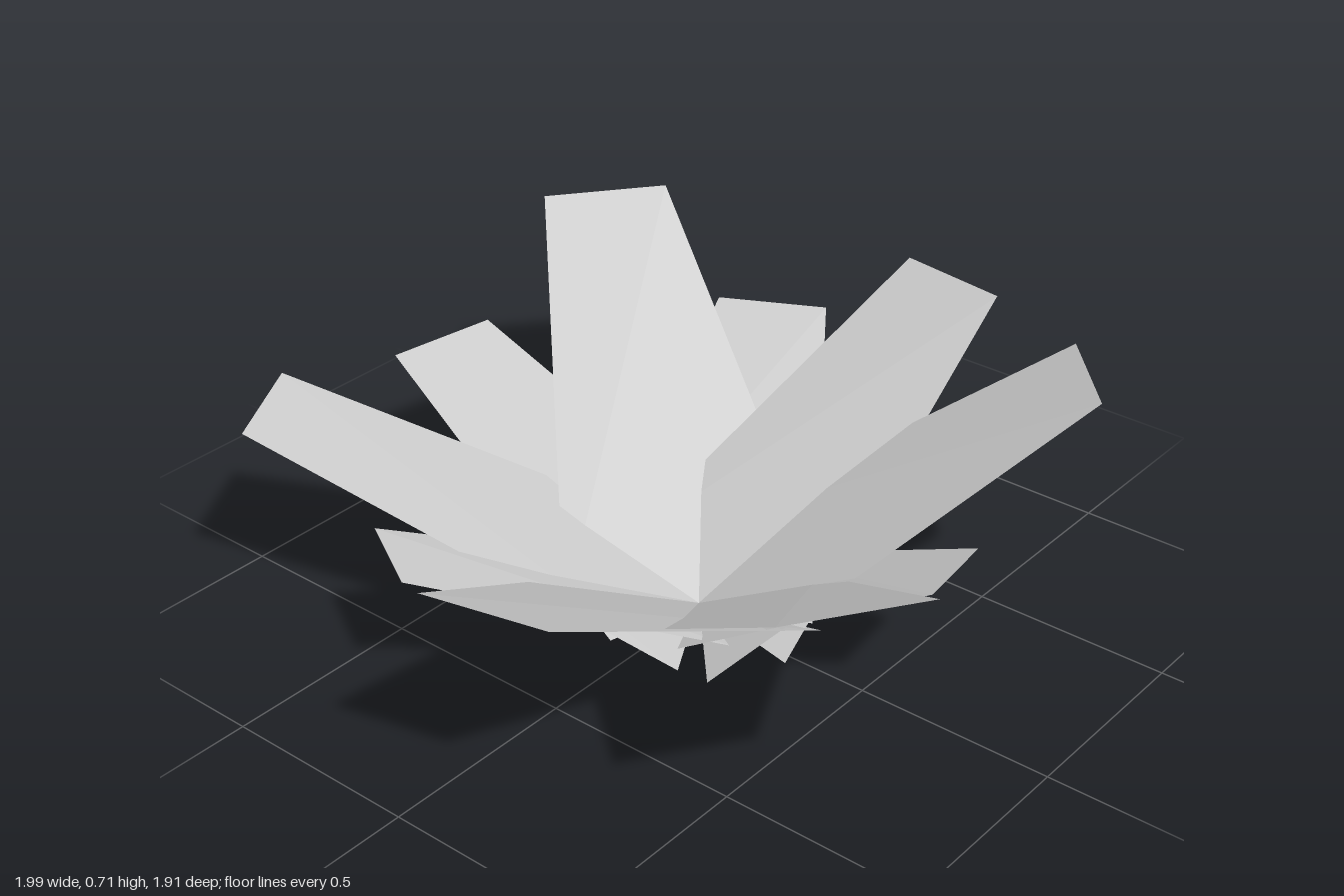
import * as THREE from 'three';

// Each leaf: tip centre x, y, z, then tip width and base width
const OUTER_LEAVES = [
  [-0.87, 0.63, -0.68, 0.33, 0.66],
  [0.125, 0.615, -0.865, 0.295, 0.6],
  [0.665, 0.63, -0.62, 0.29, 0.6],
  [0.895, 0.71, 0.605, 0.33, 0.62],
  [0.21, 0.58, 0.92, 0.305, 0.65],
  [-0.9, 0.49, 0.525, 0.3, 0.62],
];
const LOW_LEAVES = [
  [-0.46, 0.345, -0.89, 0.295, 0.56],
  [0.68, 0.365, -0.08, 0.22, 0.45],
  [-0.365, 0.34, 0.645, 0.24, 0.45],
  [-0.98, 0.365, -0.15, 0.3, 0.56],
];

// A tapered blade: wide, slightly twisted base on the ground and a narrow level tip
function leafGeometry([x, y, z, tipWidth, baseWidth]) {
  const side = new THREE.Vector3(-z, 0, x).normalize();
  const corner = (cx, cy, cz, offset) => new THREE.Vector3(cx, cy, cz).addScaledVector(side, offset);
  const tipA = corner(x, y, z, tipWidth / 2);
  const tipB = corner(x, y, z, -tipWidth / 2);
  const baseA = corner(0, 0, -0.015, baseWidth / 2);
  const baseB = corner(0, 0.04, -0.015, -baseWidth / 2);
  const geometry = new THREE.BufferGeometry().setFromPoints([tipA, tipB, baseB, tipA, baseB, baseA]);
  geometry.computeVertexNormals();
  return geometry;
}

export function createModel() {
  const model = new THREE.Group();
  model.name = 'leafyPlant';
  const leafGrey = new THREE.MeshStandardMaterial({ color: 0xcccccc, side: THREE.DoubleSide, flatShading: true });
  leafGrey.name = 'leafGrey';

  const addRing = (name, leaves) => {
    const ring = new THREE.Group();
    ring.name = name + 'Ring';
    leaves.forEach((leaf, i) => {
      const mesh = new THREE.Mesh(leafGeometry(leaf), leafGrey);
      mesh.name = name + (i + 1);
      ring.add(mesh);
    });
    model.add(ring);
  };
  addRing('upperLeaf', OUTER_LEAVES);
  addRing('lowerLeaf', LOW_LEAVES);
  return model;
}
